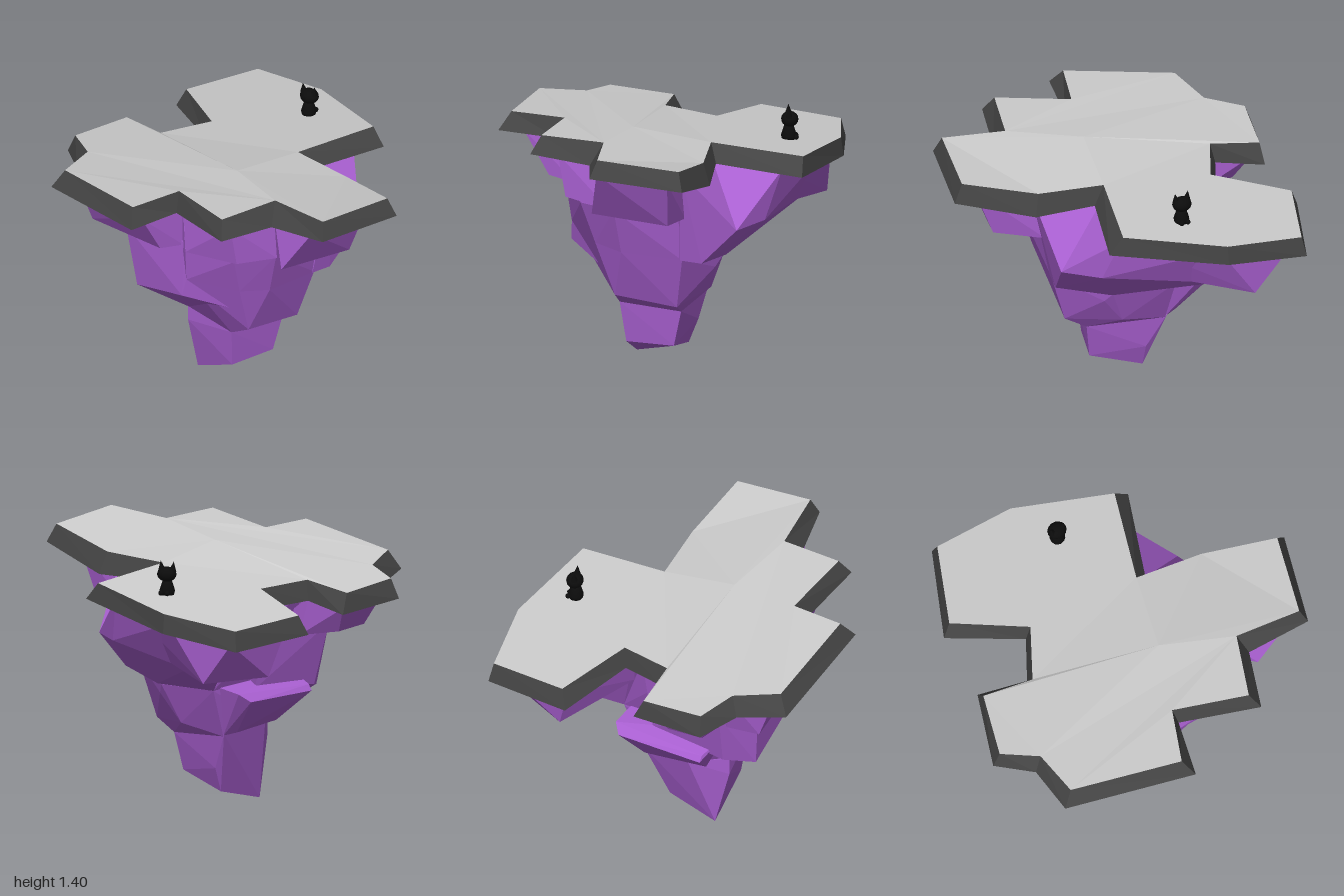
import * as THREE from 'three';
import { ConvexGeometry } from 'three/addons/geometries/ConvexGeometry.js';

const mat = (color, extra = {}) => new THREE.MeshStandardMaterial({ color, ...extra });
const stone = mat(0xcccccc, { flatShading: true });
const edge = mat(0x444444, { flatShading: true });
const rock = mat(0xa85fd0, { flatShading: true });
const black = mat(0x0c0c0c);

// The slab slopes up towards the front
const topY = (z) => 1.252 + 0.155 * z;
const underY = (z) => 1.152 + 0.155 * z;

// Slab outlines as x, z corners (and a small lift): upper rim and the wider lower rim
const upper = [
  [0.36, -0.97], [0.64, -0.655], [0.83, -0.15], [0.4, 0.08], [0.605, 0.37, -0.03], [0.76, 0.735],
  [0.39, 0.95], [0.185, 0.67, 0.015], [-0.115, 0.815], [-0.28, 0.45, 0.013], [-0.54, 0.57], [-0.81, 0.05],
  [-0.66, -0.15], [-0.69, -0.36], [-0.395, -0.525], [-0.255, -0.3], [0.025, -0.385], [-0.04, -0.8],
].map(([x, z, lift = 0]) => new THREE.Vector3(x, topY(z) + lift, z));
const lower = [
  [0.365, -1], [0.65, -0.665], [0.875, -0.09], [0.46, 0.11], [0.65, 0.37, -0.045], [0.805, 0.76],
  [0.38, 1], [0.155, 0.745, -0.01], [-0.13, 0.885], [-0.3, 0.49], [-0.56, 0.65], [-0.88, 0.04],
  [-0.715, -0.16], [-0.725, -0.385], [-0.36, -0.565], [-0.25, -0.33], [-0.01, -0.4], [-0.09, -0.815],
].map(([x, z, lift = 0]) => new THREE.Vector3(x, underY(z) + lift, z));

function fromTriangles(points) {
  const g = new THREE.BufferGeometry().setFromPoints(points);
  g.computeVertexNormals();
  return g;
}

// Fill a flat outline so that it faces up (dir 1) or down (dir -1)
function fill(outline, dir) {
  const flat = outline.map((p) => new THREE.Vector2(p.x, p.z));
  const points = [];
  for (const tri of THREE.ShapeUtils.triangulateShape(flat, [])) {
    const [a, b, c] = tri.map((i) => outline[i]);
    const ny = (b.z - a.z) * (c.x - a.x) - (b.x - a.x) * (c.z - a.z);
    points.push(...(ny * dir > 0 ? [a, b, c] : [a, c, b]));
  }
  return points;
}

function bandPoints() {
  const points = [];
  upper.forEach((t, i) => {
    const j = (i + 1) % upper.length;
    points.push(lower[i], t, upper[j], lower[i], upper[j], lower[j]);
  });
  return points;
}

// Ring shared by the upper body and the column
const waist = [
  [-0.24, 0.78, 0.44], [0.02, 0.75, 0.55], [0.18, 0.73, 0.53], [0.44, 0.7, 0.35],
  [0.43, 0.64, 0.02], [0.24, 0.645, -0.26], [-0.28, 0.68, 0]];

// Rock chunks: roof corners [x, z] touch the slab, the others are [x, y, z]
const chunks = {
  spike: [[], [
    [-0.12, 0, 0.07], [0.02, 0.145, 0.31], [0.25, 0.145, 0.2], [0.13, 0.07, -0.05],
    [-0.18, 0.32, 0.12], [-0.18, 0.42, 0.12], [0.01, 0.37, 0.35], [0.3, 0.345, 0.2],
    [0.17, 0.2, -0.08], [0.16, 0.4, -0.19], [-0.1, 0.42, -0.08]]],
  column: [[], [
    ...waist, [0.08, 0.455, 0.465], [0.36, 0.41, 0.3], [0.01, 0.37, 0.35], [0.3, 0.345, 0.2],
    [-0.18, 0.42, 0.15], [-0.1, 0.42, -0.08], [0.16, 0.385, -0.18], [0.33, 0.435, 0], [0.42, 0.585, 0.07]]],
  leftShoulder: [[], [
    [-0.445, 0.565, 0.12], [-0.425, 0.73, 0.12], [-0.26, 0.67, 0.42], [0, 0.6, 0.48],
    [-0.18, 0.42, 0.15], [-0.24, 0.78, 0.44], [-0.5, 0.92, 0.1], [-0.25, 1, 0.42], [-0.38, 0.6, -0.04],
    [-0.44, 0.93, -0.1], [0, 0.64, -0.23], [0, 0.98, -0.28]]],
  rearLedge: [[], [
    [0.08, 0.6, -0.39], [0.14, 0.64, -0.37], [-0.33, 0.59, -0.15], [-0.32, 0.62, -0.13],
    [0.22, 0.66, -0.2], [-0.28, 0.68, 0.05], [0.16, 0.39, -0.18], [0.1, 0.41, -0.22], [-0.18, 0.42, -0.02]]],
  upperBody: [[[-0.25, 0.38], [-0.05, 0.56], [0.18, 0.58], [0.5, 0.4], [0.4, 0.08], [0, -0.28], [-0.25, -0.2]], [
    ...waist, [-0.25, 0.97, 0.47], [-0.02, 0.98, 0.62], [0.2, 0.985, 0.61], [0.48, 0.945, 0.37]]],
  frontLobe: [[[-0.25, 0.4], [-0.06, 0.75], [0.2, 0.6], [0.1, 0.2]], [
    [-0.025, 1.04, 0.73], [0.2, 0.995, 0.64], [-0.25, 0.97, 0.47], [0, 0.97, 0.4]]],
  frontRightLobe: [[[0.34, 0.9], [0.65, 0.7], [0.51, 0.44], [0.19, 0.6]], [
    [0.2, 1.015, 0.78], [0.58, 0.995, 0.62], [0.48, 0.945, 0.37], [0.2, 0.97, 0.5]]],
  leftLobe: [[[-0.74, 0.05], [-0.49, 0.53], [-0.25, 0.38], [-0.6, -0.12], [-0.2, -0.1]], [
    [-0.66, 0.92, 0.01], [-0.5, 0.905, 0.08], [-0.38, 1, 0.46], [-0.25, 0.97, 0.4],
    [-0.52, 0.92, -0.1], [-0.2, 0.92, 0]]],
  backLeftLobe: [[[-0.65, -0.33], [-0.39, -0.48], [-0.27, -0.28], [-0.6, -0.1]], [
    [-0.57, 0.95, -0.28], [-0.4, 0.94, -0.38], [-0.24, 0.9, -0.22], [-0.48, 0.92, -0.08], [-0.15, 0.9, 0]]],
  backLobeTip: [[[0.36, -0.9], [0.59, -0.62], [0.71, -0.11], [0.01, -0.74], [0.04, -0.32]], [
    [0.46, 0.79, -0.75], [0.1, 0.8, -0.73], [0.5, 0.83, -0.55], [0.28, 0.83, -0.55],
    [0.6, 0.9, -0.1], [0.1, 0.9, -0.28]]],
  backLobeRoot: [[[0.6, -0.55], [0.72, -0.11], [0.42, 0.09], [0.04, -0.32]], [
    [0.48, 0.83, -0.55], [0.28, 0.83, -0.55], [0.7, 0.89, 0], [0.7, 0.89, 0.22],
    [0.53, 0.69, 0.3], [0.45, 0.645, 0.02], [0.24, 0.645, -0.26], [0.2, 0.7, 0.2]]],
  sideBulge: [[[0.42, 0.09], [0.51, 0.44], [0.2, 0.3]], [
    [0.48, 0.945, 0.37], [0.7, 0.89, 0.22], [0.53, 0.69, 0.3], [0.43, 0.7, 0.36], [0.2, 0.8, 0.2]]],
};

// Small sitting cat, facing its own +z
function makeCat() {
  const cat = new THREE.Group();
  cat.name = 'cat';
  const add = (name, geometry, x, y, z) => {
    const m = new THREE.Mesh(geometry, black);
    m.name = name;
    m.position.set(x, y, z);
    cat.add(m);
    return m;
  };
  const profile = [[0, 0], [0.036, 0], [0.041, 0.02], [0.032, 0.05], [0.022, 0.08], [0, 0.09]];
  add('body', new THREE.LatheGeometry(profile.map(([r, y]) => new THREE.Vector2(r, y)), 14), 0, 0, 0);
  add('head', new THREE.SphereGeometry(0.046, 14, 10), 0, 0.107, 0.005).scale.set(1.12, 0.85, 0.98);
  for (const s of [-1, 1]) {
    add('ear', new THREE.ConeGeometry(0.02, 0.05, 6), s * 0.034, 0.15, 0).rotation.z = -s * 0.15;
    add('paw', new THREE.SphereGeometry(0.014, 8, 6), s * 0.018, 0.012, 0.037);
  }
  return cat;
}

export function createModel() {
  const model = new THREE.Group();
  model.name = 'floatingIsland';
  const add = (name, geometry, material) => {
    const m = new THREE.Mesh(geometry, material);
    m.name = name;
    model.add(m);
  };

  // Slab: slightly crowned top, dark flared rim, rocky underside
  const crown = new THREE.Vector3(0.05, 1.322, 0.29);
  const frontHalf = [...upper.slice(3, 16), crown];
  const backHalf = [...upper.slice(15), ...upper.slice(0, 4), crown];
  add('slabTop', fromTriangles([...fill(frontHalf, 1), ...fill(backHalf, 1)]), stone);
  add('slabRim', fromTriangles(bandPoints()), edge);
  add('slabUnderside', fromTriangles(fill(lower, -1)), rock);

  // Faceted rock below
  for (const [name, [roof, rest]] of Object.entries(chunks)) {
    const points = roof.map(([x, z]) => new THREE.Vector3(x, underY(z) + 0.004, z));
    rest.forEach((p) => points.push(new THREE.Vector3(...p)));
    add(name, new ConvexGeometry(points), rock);
  }

  const cat = makeCat();
  cat.position.set(0.53, topY(-0.375), -0.375);
  cat.rotation.y = Math.PI * 0.75;
  model.add(cat);
  return model;
}
